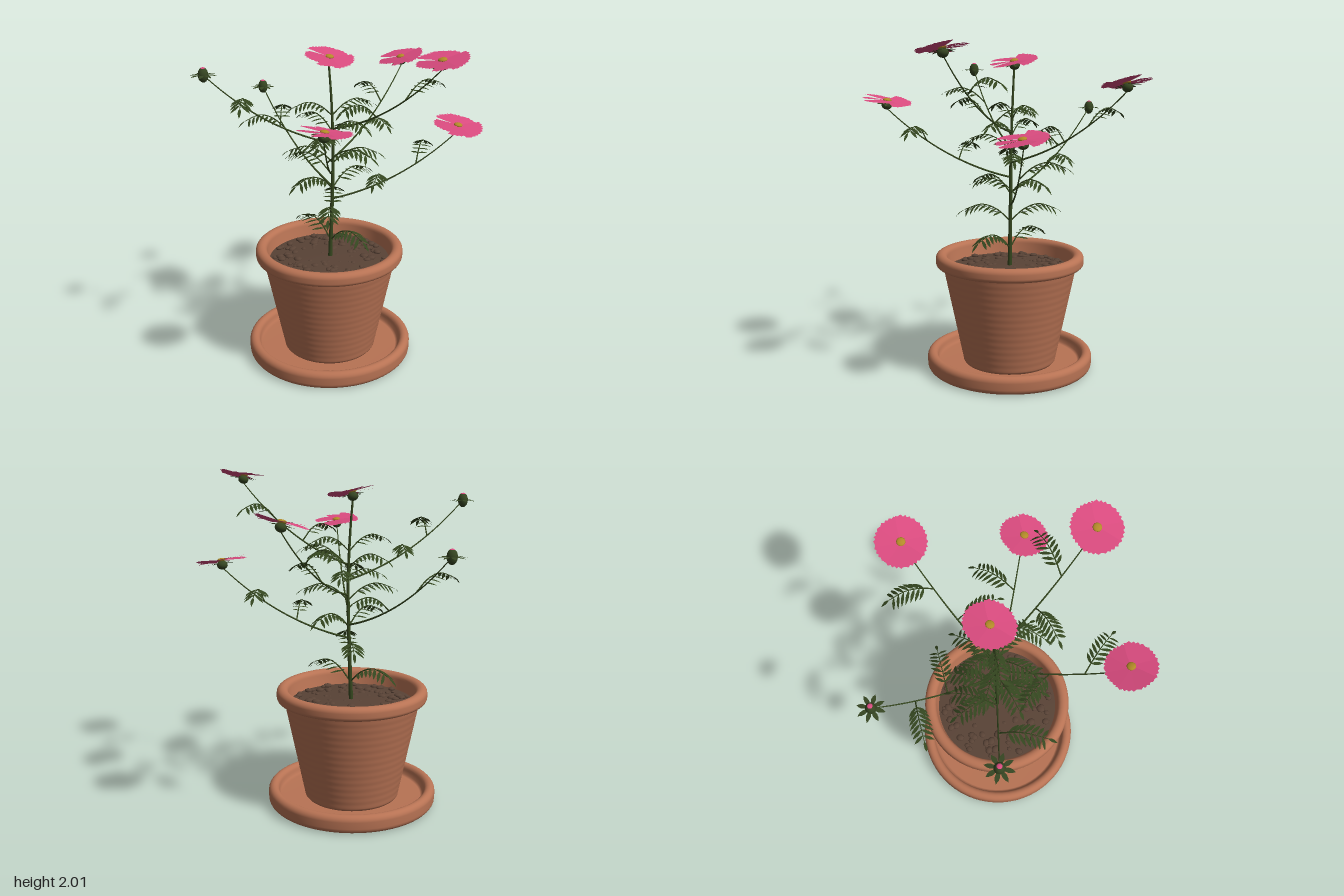
import * as THREE from 'three';
import { mergeGeometries } from 'three/addons/utils/BufferGeometryUtils.js';

const CX = -0.075, CZ = -0.06;
const V = (x, y, z) => new THREE.Vector3(x, y, z);
const paint = (name, color, side = THREE.FrontSide) => {
  const m = new THREE.MeshStandardMaterial({ color, side });
  m.name = name;
  return m;
};

export function createModel() {
  const terracotta = paint('terracotta', 0xb87354);
  const soilBrown = paint('soil brown', 0x594336);
  const stemGreen = paint('stem green', 0x36481f);
  const leafGreen = paint('leaf green', 0x34461f, THREE.DoubleSide);
  const sepalGreen = paint('sepal green', 0x364622, THREE.DoubleSide);
  const pink = paint('petal pink', 0xda4b7f, THREE.DoubleSide);
  const gold = paint('flower gold', 0xb28a28);

  const model = new THREE.Group();
  const add = (parent, name, geometry, material) => {
    const mesh = new THREE.Mesh(geometry, material);
    mesh.name = name;
    parent.add(mesh);
    return mesh;
  };
  const lathe = (pts) => new THREE.LatheGeometry(pts.map(p => new THREE.Vector2(...p)), 64);
  // Elliptical arc for rounded lips in a lathe profile
  const arc = (cx, cy, rx, ry, a, b, n = 10) => Array.from({ length: n + 1 }, (_, i) => {
    const t = a + (b - a) * i / n;
    return [cx + rx * Math.cos(t), cy + ry * Math.sin(t)];
  });

  // ---- pot, saucer and soil ----
  const potGroup = new THREE.Group();
  potGroup.name = 'pot';
  potGroup.position.set(CX, 0, CZ);
  model.add(potGroup);

  add(potGroup, 'saucer', lathe([[0, 0], [0.46, 0],
    ...arc(0.477, 0.035, 0.035, 0.035, -Math.PI / 2, 0, 5),
    ...arc(0.48, 0.075, 0.033, 0.035, 0, Math.PI, 10),
    [0.44, 0.05], [0.425, 0.04], [0, 0.04]]), terracotta);

  // Thrown wall with very faint horizontal ridges
  const wall = Array.from({ length: 97 }, (_, i) => {
    const t = i / 96;
    return [0.287 + 0.123 * t + 0.0004 * Math.sin(t * Math.PI * 2 * 14), 0.05 + 0.6 * t];
  });
  add(potGroup, 'potBody', lathe([[0, 0.038], [0.277, 0.038], ...wall,
    ...arc(0.43, 0.675, 0.025, 0.025, -Math.PI / 2, 0, 5),
    ...arc(0.42, 0.7, 0.035, 0.032, 0, Math.PI, 10),
    [0.378, 0.66], [0.365, 0.6]]), terracotta);

  add(potGroup, 'soil', lathe([[0.375, 0.635], [0.25, 0.642], [0.1, 0.648], [0, 0.65]]), soilBrown);

  let seed = 7;
  const rnd = () => (seed = (seed * 16807) % 2147483647) / 2147483647;
  const clods = [];
  for (let i = 0; i < 120; i++) {
    const r = 0.05 + 0.3 * Math.sqrt(rnd()), a = rnd() * Math.PI * 2, s = 0.012 + 0.018 * rnd();
    clods.push(new THREE.SphereGeometry(s, 8, 6).scale(1, 0.5, 0.85).rotateY(a * 3)
      .translate(r * Math.cos(a), 0.643, r * Math.sin(a)));
  }
  add(potGroup, 'soilClods', mergeGeometries(clods), soilBrown);

  // ---- stem and branches ----
  const taperTube = (curve, r0, r1, n = 20, sides = 8) => {
    const g = new THREE.TubeGeometry(curve, n, 1, sides);
    const p = g.attributes.position, c = new THREE.Vector3(), v = new THREE.Vector3();
    for (let i = 0; i < p.count; i++) {
      const t = Math.floor(i / (sides + 1)) / n;
      curve.getPointAt(t, c);
      v.fromBufferAttribute(p, i).sub(c).multiplyScalar(r0 + (r1 - r0) * t).add(c);
      p.setXYZ(i, v.x, v.y, v.z);
    }
    return g;
  };

  const stemCurve = new THREE.CatmullRomCurve3([V(-0.07, 0.63, -0.06), V(-0.057, 1.0, -0.063),
    V(-0.05, 1.35, -0.065), V(-0.06, 1.65, -0.075), V(-0.075, 1.86, -0.085)]);
  add(model, 'mainStem', taperTube(stemCurve, 0.013, 0.006, 32), stemGreen);
  const stemAt = (y) => {
    let lo = 0, hi = 1;
    for (let i = 0; i < 20; i++) {
      const m = (lo + hi) / 2;
      if (stemCurve.getPoint(m).y < y) lo = m; else hi = m;
    }
    return stemCurve.getPoint(lo);
  };

  // ---- feathery leaf: arched midrib along +x with paired leaflets ----
  // Lens-shaped blade along +x that sags towards its tip
  const blade = (len, w, sag = 0) => {
    const s = new THREE.Shape();
    s.moveTo(0, 0);
    s.quadraticCurveTo(len * 0.45, w, len, 0);
    s.quadraticCurveTo(len * 0.45, -w, 0, 0);
    const g = new THREE.ShapeGeometry(s, 4).rotateX(-Math.PI / 2);
    const p = g.attributes.position;
    for (let i = 0; i < p.count; i++) p.setY(i, -sag * (p.getX(i) / len) ** 2);
    g.computeVertexNormals();
    return g;
  };
  const rib = new THREE.CatmullRomCurve3([V(0, 0, 0), V(0.08, 0.07, 0), V(0.16, 0.097, 0), V(0.255, 0.068, 0)]);
  const leaflets = [];
  for (let i = 0; i < 8; i++) {
    const t = 0.25 + 0.75 * i / 7, p = rib.getPointAt(t), d = rib.getTangentAt(t);
    const slope = Math.atan2(d.y, d.x), len = 0.05 + 0.032 * Math.sin(Math.PI * Math.min(1, t * 0.85));
    for (const s of i === 7 ? [0] : [-1, 1]) {
      leaflets.push(blade(len, 0.018, 0.018).rotateX(s * 0.15).rotateZ(-0.22).rotateY(s * 0.95)
        .rotateZ(slope * 0.7).translate(p.x, p.y, p.z));
    }
  }
  const leafletGeo = mergeGeometries(leaflets);
  const ribGeo = taperTube(rib, 0.0045, 0.002, 12, 5);
  const addLeaf = (pos, angle, scale = 1) => {
    const leaf = new THREE.Group();
    leaf.name = 'leaf';
    leaf.position.copy(pos);
    leaf.rotation.y = angle;
    leaf.scale.setScalar(scale);
    add(leaf, 'midrib', ribGeo, stemGreen);
    add(leaf, 'leaflets', leafletGeo, leafGreen);
    model.add(leaf);
  };

  // Opposite leaf pairs up the main stem: height, turn
  [[0.76, 2.36], [0.93, 1.57], [1.1, 0.75], [1.26, 0], [1.36, 1.3], [1.45, 2.5], [1.55, 0.4]]
    .forEach(([y, turn], i) => {
      for (const side of [0, Math.PI]) addLeaf(stemAt(y), turn + side, 1.12 - i * 0.03);
    });

  // ---- flower and bud parts ----
  const petalShape = new THREE.Shape([[0.008, 0.01], [0.035, 0.06], [0.064, 0.126], [0.05, 0.128],
    [0.038, 0.142], [0.022, 0.135], [0.012, 0.146], [0, 0.137], [-0.012, 0.146], [-0.022, 0.135],
    [-0.038, 0.142], [-0.05, 0.128], [-0.064, 0.126], [-0.035, 0.06], [-0.008, 0.01]]
    .map(p => new THREE.Vector2(...p)));
  const ring = (make, n) => mergeGeometries(Array.from({ length: n }, (_, i) => make(i).rotateY(i * Math.PI * 2 / n)));
  const petalGeo = ring(i => new THREE.ShapeGeometry(petalShape).rotateX(-Math.PI / 2)
    .rotateZ(-0.09).rotateX(0.05 * Math.sin(i * 2.4)), 8);
  const calyxSepals = ring(() => blade(0.075, 0.022).rotateZ(-0.12).translate(0.01, -0.012, 0), 8);
  const budSepals = ring(() => blade(0.065, 0.026, 0.012).rotateZ(0.1).translate(0.015, 0, 0), 8);
  const ball = (rx, ry) => new THREE.SphereGeometry(1, 16, 12).scale(rx, ry, rx);
  const UP = V(0, 1, 0);

  const addFlower = (pos, normal) => {
    const g = new THREE.Group();
    g.name = 'flower';
    g.position.copy(pos);
    g.quaternion.setFromUnitVectors(UP, normal.clone().normalize());
    add(g, 'petals', petalGeo, pink);
    add(g, 'flowerCentre', ball(0.025, 0.011), gold).position.y = 0.002;
    add(g, 'calyx', ball(0.031, 0.026), sepalGreen).position.y = -0.028;
    add(g, 'sepals', calyxSepals, sepalGreen);
    model.add(g);
  };
  const addBud = (pos) => {
    const g = new THREE.Group();
    g.name = 'bud';
    g.position.copy(pos);
    add(g, 'budBody', ball(0.03, 0.043), sepalGreen);
    add(g, 'budTip', ball(0.016, 0.009), pink).position.y = 0.034;
    add(g, 'budSepals', budSepals, sepalGreen);
    model.add(g);
  };

  addFlower(V(-0.07, 1.893, -0.083), V(0.17, 1, 0.17));

  // Branches: start height, tip, flower normal (none for a bud), outer leaf [dx, dz]
  const branches = [
    [1.03, V(0.682, 1.505, -0.068), V(0.15, 1, 0.16), [0.06, -0.26]],
    [1.11, V(-0.545, 1.585, -0.615), null, [-0.25, 0.13]],
    [1.2, V(-0.038, 1.665, 0.665), V(0.11, 1, -0.14), [0.26, 0.11]],
    [1.29, V(0.34, 1.78, -0.675), V(-0.24, 1, 0.12), [-0.15, -0.2]],
    [1.38, V(-0.762, 1.825, 0.13), null, [0.01, 0.27]],
    [1.47, V(0.553, 1.97, 0.338), V(-0.15, 1, 0.14), [0.18, -0.16]],
  ];
  for (const [y, tip, normal, [dx, dz]] of branches) {
    const a = stemAt(y), end = tip.clone();
    if (normal) end.addScaledVector(normal.clone().normalize(), -0.045);
    const bend = a.clone().lerp(end, 0.55);
    bend.y = a.y + (end.y - a.y) * 0.23;
    const curve = new THREE.QuadraticBezierCurve3(a, bend, end);
    add(model, 'branch', taperTube(curve, 0.006, 0.003), stemGreen);
    const angle = Math.atan2(-dz, dx);
    addLeaf(curve.getPoint(0.66), angle);
    addLeaf(curve.getPoint(0.4), angle + Math.PI, 0.95);
    if (normal) addFlower(tip, normal); else addBud(tip);
  }
  return model;
}
